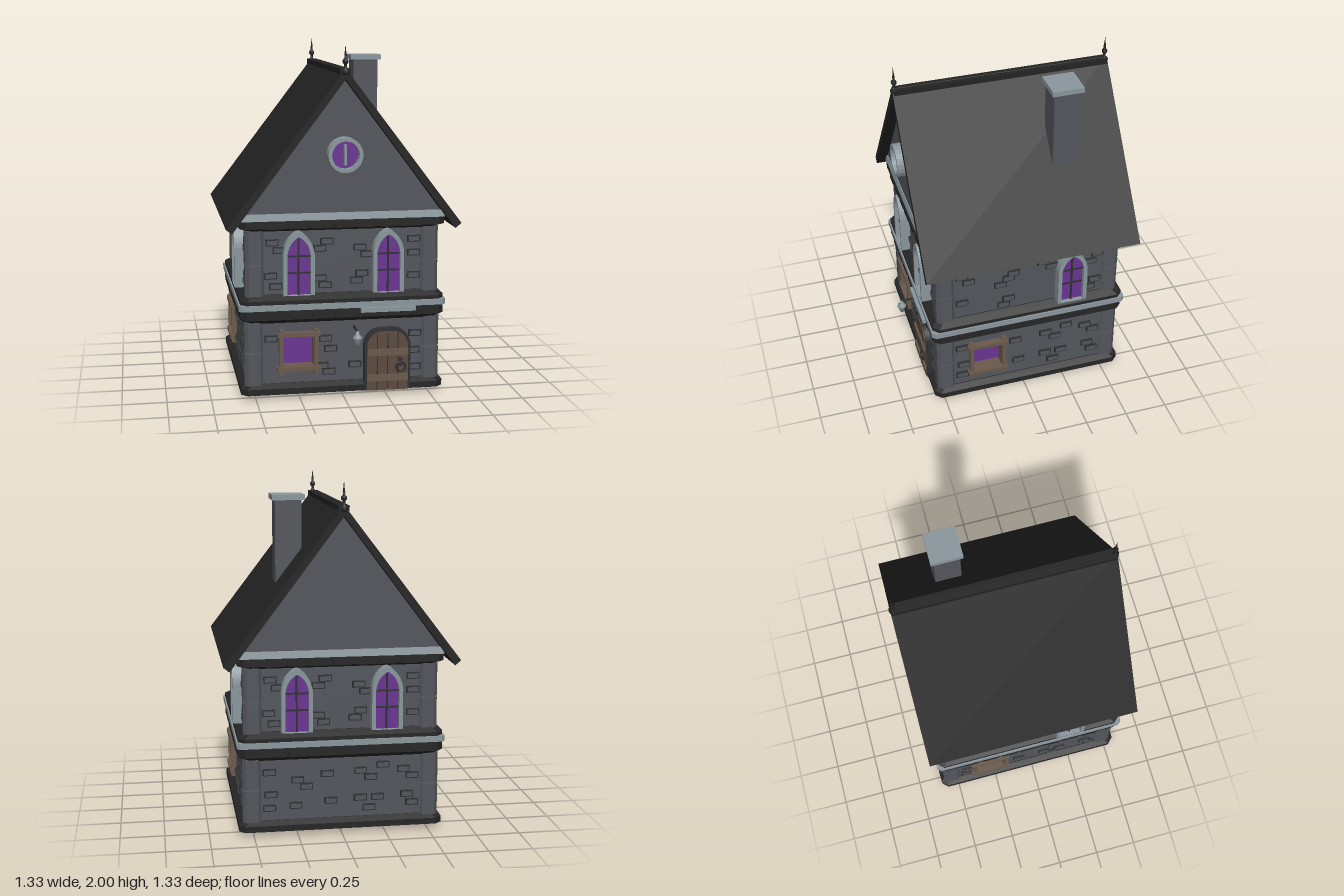
import * as THREE from 'three';

const mat = (name, color) => Object.assign(new THREE.MeshStandardMaterial({ color }), { name });
const stone = mat('stone grey', 0x53565c);
const trim = mat('pale trim', 0x8a979d);
const dark = mat('dark band', 0x262626);
const roofMat = mat('roof black', 0x242424);
const purple = mat('purple glass', 0x6a3592);
const wood = mat('wood', 0x6a5a4c);
const plank = mat('door plank', 0x5c4a40);
const iron = mat('iron', 0x2f3133);

const ZC = -0.025; // centre of the walls

function add(parent, name, geo, material, x = 0, y = 0, z = 0) {
  const m = new THREE.Mesh(geo, material);
  m.name = name;
  m.position.set(x, y, z);
  parent.add(m);
  return m;
}
const box = (p, name, m, w, h, d, x, y, z) => add(p, name, new THREE.BoxGeometry(w, h, d), m, x, y, z);
// Extrude a shape from depth z0 to z1
function plate(p, name, m, shape, z0, z1, x = 0, y = 0) {
  const geo = new THREE.ExtrudeGeometry(shape, { depth: z1 - z0, bevelEnabled: false, curveSegments: 10 });
  return add(p, name, geo, m, x, y, z0);
}
const polygon = (pts) => new THREE.Shape(pts.map(([x, y]) => new THREE.Vector2(x, y)));
const rect = (x0, y0, x1, y1) => polygon([[x0, y0], [x1, y0], [x1, y1], [x0, y1]]);

// Chamfered square slab whose half width goes from h0 (bottom) to h1 (top)
function slab(p, name, m, h0, h1, y0, y1, c = 0.035, x = 0, z = 0) {
  const k = h0 - c;
  const s = polygon([[-k, -h0], [k, -h0], [h0, -k], [h0, k], [k, h0], [-k, h0], [-h0, k], [-h0, -k]]);
  const geo = new THREE.ExtrudeGeometry(s, { depth: y1 - y0, bevelEnabled: false }).rotateX(-Math.PI / 2);
  const pos = geo.attributes.position;
  for (let i = 0; i < pos.count; i++) {
    if (pos.getY(i) > (y1 - y0) / 2) pos.setXYZ(i, pos.getX(i) * h1 / h0, pos.getY(i), pos.getZ(i) * h1 / h0);
  }
  geo.computeVertexNormals();
  return add(p, name, geo, m, x, y0, z);
}

// Pointed arch standing on y = 0
function gothic(w, spring, top) {
  const s = new THREE.Shape();
  s.moveTo(-w, 0);
  s.lineTo(w, 0);
  s.lineTo(w, spring);
  s.quadraticCurveTo(w * 0.9, spring + (top - spring) * 0.7, 0, top);
  s.quadraticCurveTo(-w * 0.9, spring + (top - spring) * 0.7, -w, spring);
  return s;
}
// Door outline with rounded top corners
function doorShape(w, h, r) {
  const s = new THREE.Shape();
  s.moveTo(-w, 0);
  s.lineTo(w, 0);
  s.lineTo(w, h - r);
  s.absarc(w - r, h - r, r, 0, Math.PI / 2);
  s.absarc(r - w, h - r, r, Math.PI / 2, Math.PI);
  return s;
}

function archWindow(p, x) {
  const g = new THREE.Group();
  g.name = 'archWindow';
  g.position.set(x, 0.605, 0);
  p.add(g);
  const frame = gothic(0.088, 0.23, 0.365);
  frame.holes.push(gothic(0.066, 0.225, 0.333));
  plate(g, 'windowFrame', trim, frame, 0.53, 0.595);
  plate(g, 'windowGlass', purple, gothic(0.067, 0.225, 0.334), 0.56, 0.566);
  box(g, 'mullion', iron, 0.01, 0.32, 0.012, 0, 0.16, 0.568);
  for (const y of [0.125, 0.22]) box(g, 'crossBar', iron, 0.132, 0.009, 0.012, 0, y, 0.568);
}

function woodWindow(p, x) {
  const g = new THREE.Group();
  g.name = 'woodWindow';
  g.position.x = x;
  p.add(g);
  const lining = rect(-0.1, 0.175, 0.1, 0.385);
  lining.holes.push(rect(-0.086, 0.188, 0.086, 0.364));
  plate(g, 'windowLining', wood, lining, 0.49, 0.558);
  box(g, 'windowGlass', purple, 0.18, 0.185, 0.006, 0, 0.275, 0.496);
  for (const s of [-1, 1]) {
    box(g, 'windowPost', wood, 0.024, 0.265, 0.035, s * 0.1, 0.27, 0.56);
    box(g, 'windowBeam', wood, 0.245, 0.024, 0.04, 0, 0.275 + s * 0.1, 0.565);
  }
}

function bricks(p, list, z) {
  for (const [x, y] of list) {
    box(p, 'brickRim', iron, 0.074, 0.038, 0.022, x, y, z);
    box(p, 'brick', stone, 0.06, 0.025, 0.028, x, y, z);
  }
}
const upperFront = [[-0.4, 0.9], [-0.36, 0.855], [-0.09, 0.9], [-0.13, 0.86], [0.1, 0.86], [0.14, 0.82], [0.48, 0.9], [0.45, 0.82],
  [-0.41, 0.71], [-0.38, 0.65], [-0.1, 0.65], [-0.13, 0.69], [0.11, 0.71], [0.08, 0.67], [0.47, 0.69]].map(([x, y]) => [Math.min(x, 0.41), y]);
const upperSide = [[-0.4, 0.9], [-0.36, 0.855], [-0.12, 0.83], [-0.17, 0.79], [-0.09, 0.86], [0.09, 0.9], [0.14, 0.86], [0.42, 0.89],
  [0.38, 0.84], [-0.4, 0.71], [-0.12, 0.68], [-0.15, 0.64], [0.41, 0.7], [0.38, 0.65]];
const lowerFront = [[-0.1, 0.34], [-0.07, 0.28], [-0.12, 0.18], [-0.08, 0.145], [0.07, 0.18], [-0.41, 0.35], [0.42, 0.35], [0.41, 0.25], [0.42, 0.15]];
const lowerSide = [[0.11, 0.36], [0.17, 0.32], [0.24, 0.39], [0.36, 0.36], [0.41, 0.32], [0.11, 0.2], [0.16, 0.14], [0.21, 0.2], [0.38, 0.21],
  [0.41, 0.16], [-0.41, 0.37], [-0.4, 0.24], [-0.41, 0.16], [-0.08, 0.35], [-0.06, 0.19]];

function facade(p, i) {
  const f = new THREE.Group();
  f.name = ['frontFacade', 'leftFacade', 'backFacade', 'rightFacade'][i];
  f.rotation.y = i * Math.PI / 2;
  p.add(f);
  const wall = rect(-0.47, 0.05, 0.47, 0.47);
  if (i !== 2) {
    wall.holes.push(rect(-0.345, 0.185, -0.165, 0.37));
    woodWindow(f, -0.255);
  }
  plate(f, 'lowerWall', stone, wall, 0.48, 0.545);
  archWindow(f, 0.255);
  if (i % 2 === 0) archWindow(f, -0.255);
  bricks(f, i % 2 ? upperSide : upperFront, 0.535);
  bricks(f, i === 0 ? lowerFront : lowerSide, 0.547);
  if (i === 2) bricks(f, [[-0.25, 0.32], [-0.2, 0.28], [-0.26, 0.17]], 0.547);
  // Block joints along the dark bands
  for (let k = -3; k <= 3; k++) for (const y of [0.49, 1.0]) box(f, 'bandBlock', dark, 0.1, 0.034, 0.012, k * 0.128, y, 0.583);
}

function door(p) {
  const g = new THREE.Group();
  g.name = 'door';
  g.position.set(0.253, 0.03, 0);
  p.add(g);
  plate(g, 'doorSurround', iron, doorShape(0.134, 0.362, 0.1), 0.54, 0.588);
  plate(g, 'doorPanel', plank, doorShape(0.119, 0.346, 0.09), 0.588, 0.594);
  for (const x of [-0.06, 0, 0.06]) box(g, 'plankGap', iron, 0.006, 0.335, 0.004, x, 0.168, 0.594);
  for (const y of [0.075, 0.225]) box(g, 'doorStrap', wood, 0.236, 0.038, 0.014, 0, y, 0.598);
  add(g, 'knockerRing', new THREE.TorusGeometry(0.026, 0.007, 8, 20), iron, 0.075, 0.138, 0.603);
  box(g, 'knockerPlate', iron, 0.016, 0.05, 0.012, 0.075, 0.165, 0.6);
}

function lathe(p, name, m, pts, x, y, z, seg = 10) {
  return add(p, name, new THREE.LatheGeometry(pts.map(([r, h]) => new THREE.Vector2(r, h)), seg), m, x, y, z);
}

export function createModel() {
  const house = new THREE.Group();
  house.name = 'house';
  const body = new THREE.Group();
  body.name = 'body';
  body.position.z = ZC;
  house.add(body);

  // Floor slab with four tiles underneath
  box(body, 'floorSlab', stone, 1.01, 0.02, 1.01, 0, 0.02, 0);
  for (const x of [-1, 1]) for (const z of [-1, 1]) {
    box(body, 'floorTile', iron, 0.49, 0.01, 0.49, x * 0.252, 0.008, z * 0.252);
    const stud = add(body, 'floorOctagon', new THREE.CylinderGeometry(0.15, 0.15, 0.006, 8), dark, x * 0.252, 0.003, z * 0.252);
    stud.rotation.y = Math.PI / 8;
  }

  // Cores, dark bands and pale ledge, bottom to top
  box(body, 'lowerCore', stone, 0.98, 0.5, 0.98, 0, 0.29, 0);
  slab(body, 'baseSkirt', dark, 0.583, 0.583, 0.03, 0.065);
  slab(body, 'baseSkirtTop', dark, 0.583, 0.55, 0.065, 0.088);
  slab(body, 'middleBandFoot', dark, 0.55, 0.583, 0.44, 0.465);
  slab(body, 'middleBand', dark, 0.583, 0.583, 0.465, 0.52);
  slab(body, 'ledge', trim, 0.592, 0.592, 0.52, 0.553, 0.02);
  slab(body, 'upperSkirt', dark, 0.583, 0.583, 0.553, 0.575);
  slab(body, 'upperSkirtTop', dark, 0.583, 0.54, 0.575, 0.605);
  box(body, 'upperWall', stone, 1.07, 0.42, 1.07, 0, 0.79, 0);
  slab(body, 'topBandFoot', dark, 0.54, 0.583, 0.965, 0.985);
  slab(body, 'topBand', dark, 0.583, 0.583, 0.985, 1.028);
  slab(body, 'gableLedge', trim, 0.583, 0.575, 1.028, 1.068, 0.01);

  // Corner posts in two storeys, each with a joint
  for (const x of [-1, 1]) for (const z of [-1, 1]) {
    for (const [y0, y1, c] of [[0.08, 0.265, 0.507], [0.272, 0.45, 0.507], [0.59, 0.77, 0.498], [0.777, 0.97, 0.498]]) {
      slab(body, 'cornerPost', stone, 0.054, 0.054, y0, y1, 0.02, x * c, z * c);
    }
  }
  for (let i = 0; i < 4; i++) facade(body, i);
  door(body);

  // Slab above the door
  box(body, 'doorCanopy', trim, 0.315, 0.026, 0.07, 0.253, 0.508, 0.575);

  // Hanging lantern
  box(house, 'lanternArm', iron, 0.01, 0.01, 0.12, 0.065, 0.402, 0.58);
  lathe(house, 'lantern', trim, [[0, 0.315], [0.012, 0.32], [0.016, 0.335], [0.027, 0.36], [0.027, 0.368], [0.012, 0.385], [0.006, 0.405], [0, 0.408]], 0.065, 0, 0.635, 8);

  // Gable and roof
  plate(house, 'gable', stone, polygon([[-0.56, 1.06], [0.56, 1.06], [0, 1.815]]), ZC - 0.57, ZC + 0.57);
  plate(house, 'roof', roofMat, polygon([[0, 1.868], [-0.663, 0.998], [-0.63, 0.97], [0, 1.808], [0.63, 0.97], [0.663, 0.998]]), -0.657, 0.605);
  box(house, 'ridgeCap', roofMat, 0.06, 0.03, 1.25, 0, 1.851, -0.026);

  // Round gable window
  const round = new THREE.Group();
  round.name = 'roundWindow';
  round.position.set(0, 1.395, 0);
  house.add(round);
  const ring = new THREE.Shape().absarc(0, 0, 0.098, 0, Math.PI * 2);
  ring.holes.push(new THREE.Path().absarc(0, 0, 0.077, 0, Math.PI * 2, true));
  plate(round, 'roundFrame', trim, ring, 0.54, 0.618);
  add(round, 'roundGlass', new THREE.CircleGeometry(0.08, 28), purple, 0, 0, 0.575);
  box(round, 'roundMullion', trim, 0.014, 0.115, 0.03, 0, 0, 0.585);

  // Chimney
  box(house, 'chimney', stone, 0.15, 0.5, 0.15, 0.27, 1.64, -0.297);
  box(house, 'chimneyCap', trim, 0.185, 0.03, 0.183, 0.27, 1.893, -0.297);

  // Ridge finials
  for (const z of [0.592, -0.642]) {
    lathe(house, 'finial', roofMat, [[0, 1.825], [0.022, 1.835], [0.022, 1.86], [0.009, 1.872], [0.007, 1.888], [0.016, 1.9], [0.016, 1.912],
      [0.006, 1.925], [0.007, 1.94], [0.004, 1.96], [0, 2]], 0, 0, z);
  }
  return house;
}
